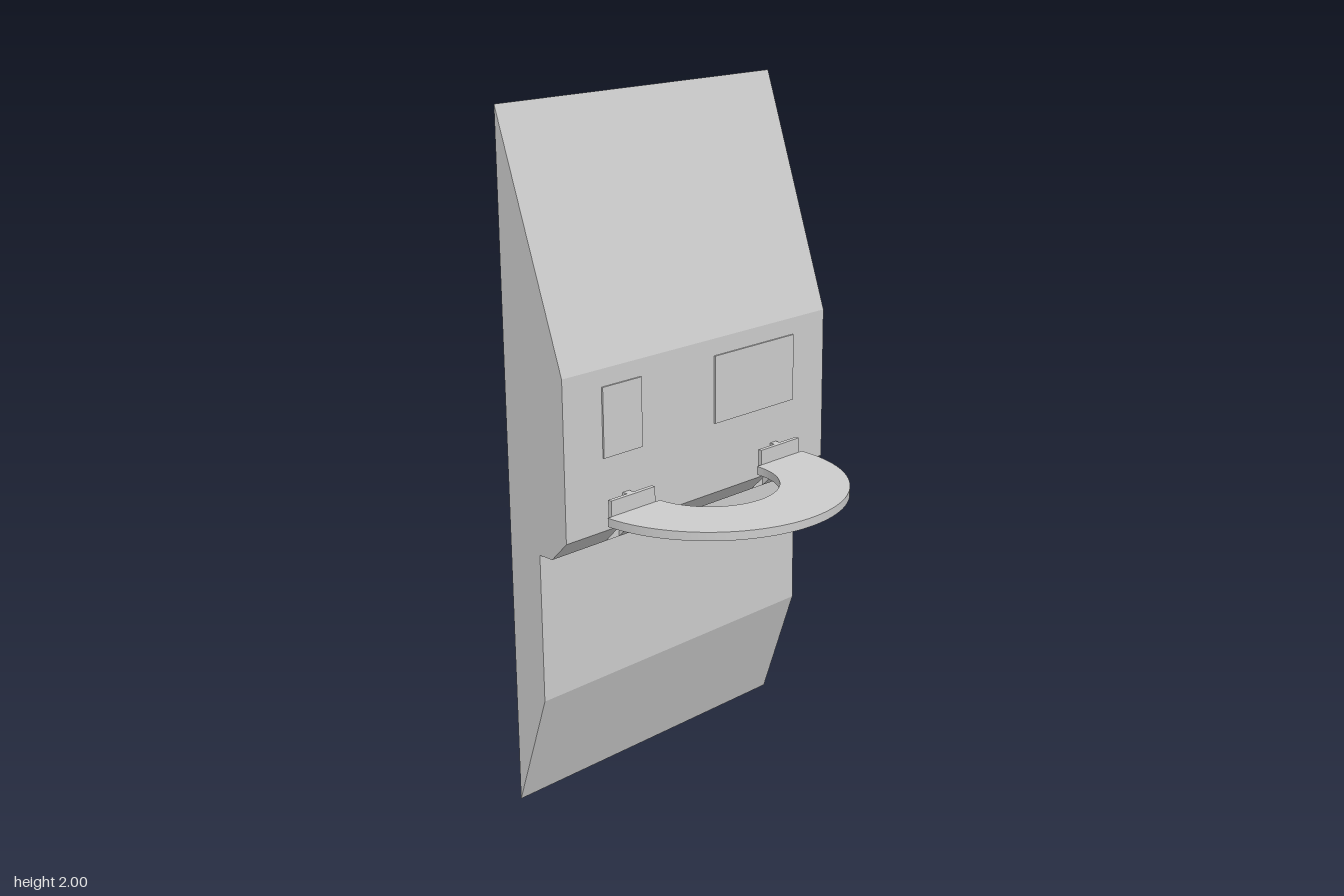
import * as THREE from 'three';
import { toCreasedNormals } from 'three/addons/utils/BufferGeometryUtils.js';

export function createModel() {
  const group = new THREE.Group();
  const grey = new THREE.MeshStandardMaterial({ color: 0xcccccc });
  grey.name = 'light grey';

  const add = (name, geometry) => {
    const mesh = new THREE.Mesh(geometry, grey);
    mesh.name = name;
    group.add(mesh);
  };
  // Box given by its limits on each axis
  const box = (name, x0, x1, y0, y1, z0, z1) => {
    const g = new THREE.BoxGeometry(x1 - x0, y1 - y0, z1 - z0);
    add(name, g.translate((x0 + x1) / 2, (y0 + y1) / 2, (z0 + z1) / 2));
  };
  // Side profile of [z, y] points swept from x0 to x1
  const slab = (name, profile, x0, x1) => {
    const shape = new THREE.Shape(profile.map(([z, y]) => new THREE.Vector2(z, y)));
    const g = new THREE.ExtrudeGeometry(shape, { depth: x1 - x0, bevelEnabled: false });
    add(name, g.rotateY(-Math.PI / 2).translate(x1, 0, 0));
  };

  // Wall body, with two narrow slots under the hinges
  const lower = [[-0.16, 0.79], [-0.21, 0.79], [-0.21, 0.35], [-0.33, 0]];
  const upper = [[-0.33, 2], [-0.1, 1.31]];
  const solid = [...upper, [-0.1, 0.85], ...lower];
  const slotCurve = [];
  for (let i = 0; i <= 6; i++) {
    const a = (i / 6) * Math.PI / 2;
    slotCurve.push([-0.1 - 0.06 * Math.sin(a), 0.845 + 0.06 * Math.cos(a)]);
  }
  const slotted = [...upper, ...slotCurve, ...lower];
  const cuts = [-0.525, -0.325, -0.275, 0.275, 0.325, 0.525];
  for (let i = 0; i < 5; i++) {
    const isSlot = i % 2 === 1;
    slab(isSlot ? 'bodySlot' : 'body', isSlot ? slotted : solid, cuts[i], cuts[i + 1]);
  }

  // Thin raised panels on the front
  box('smallPanel', -0.385, -0.24, 1.06, 1.26, -0.105, -0.095);
  box('widePanel', 0.05, 0.385, 1.06, 1.26, -0.105, -0.095);

  // Hinge plates with their webs
  for (const s of [-1, 1]) {
    const cx = s * 0.302;
    box('hingePlate', cx - 0.083, cx + 0.083, 0.875, 0.945, -0.083, -0.07);
    box('hingeWeb', cx - 0.0125, cx + 0.0125, 0.875, 0.945, -0.15, -0.08);
  }

  // Half-ring seat
  const ring = new THREE.Shape();
  ring.absarc(0, 0, 0.4, 0, Math.PI, false);
  ring.absarc(0, 0, 0.2, Math.PI, 0, true);
  const seat = new THREE.ExtrudeGeometry(ring, { depth: 0.025, bevelEnabled: false, curveSegments: 48 });
  seat.rotateX(Math.PI / 2).translate(0, 0.9, -0.07);
  add('seatRing', toCreasedNormals(seat, 0.5));

  return group;
}
